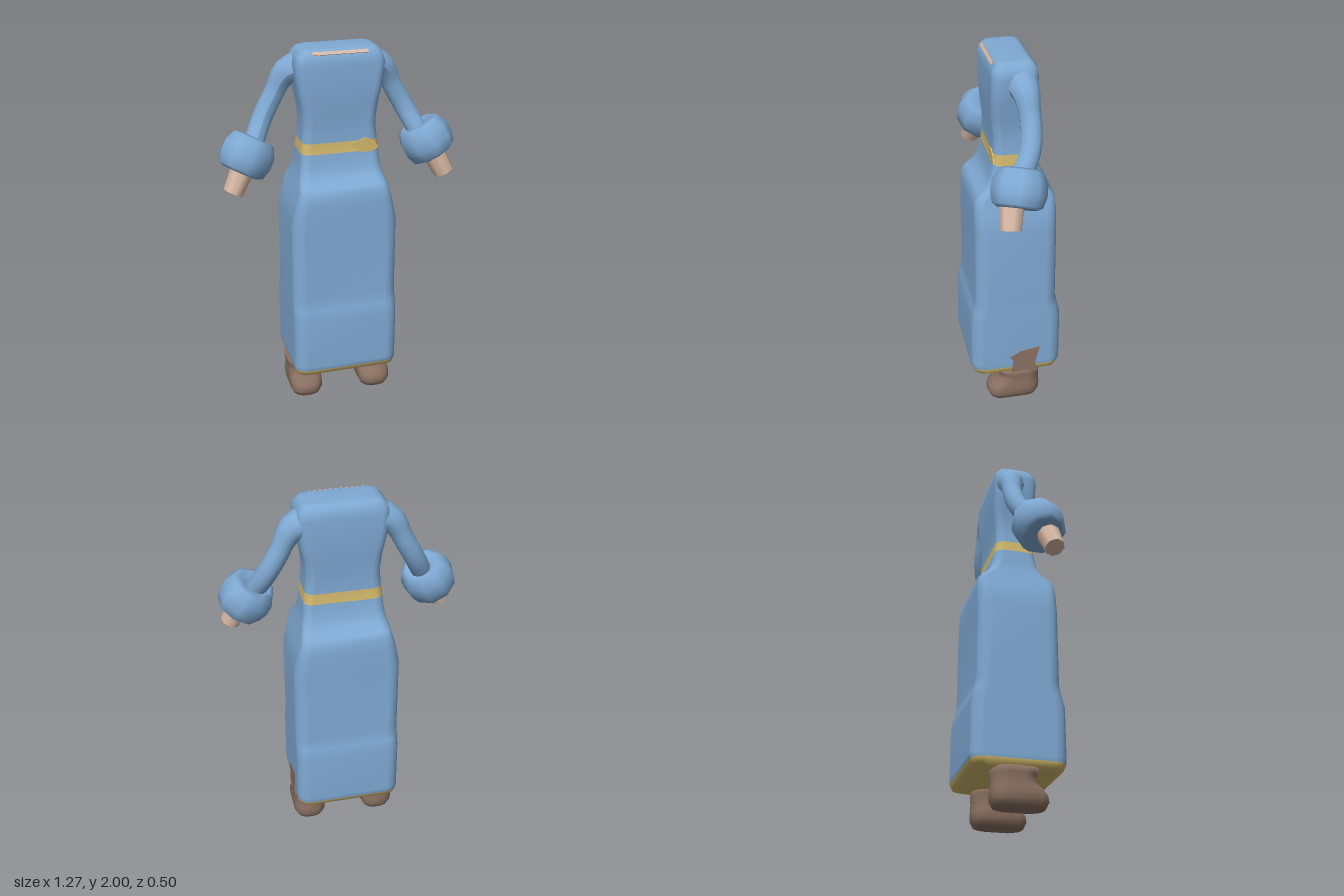
import * as THREE from 'three';

const mat = (name, color, extra = {}) => {
  const m = new THREE.MeshStandardMaterial({ color, ...extra });
  m.name = name;
  return m;
};

// Ring of a rounded rectangle, half width w, half depth d, going from +x toward +z
function ring(w, d, r, cx, y, cz, seg = 4) {
  const pts = [];
  const corners = [[1, 1], [-1, 1], [-1, -1], [1, -1]];
  corners.forEach(([sx, sz], c) => {
    for (let i = 0; i <= seg; i++) {
      const a = (c + i / seg) * Math.PI / 2;
      pts.push([cx + sx * (w - r) + r * Math.cos(a), y, cz + sz * (d - r) + r * Math.sin(a)]);
    }
  });
  return pts;
}

// Skin closed rings listed from bottom to top; slot(i) gives the material of each band
function loft(rings, slot = () => 0) {
  const n = rings[0].length, pos = [], index = [];
  const geo = new THREE.BufferGeometry();
  rings.forEach(r => r.forEach(p => pos.push(...p)));
  const cap = (ri, up) => {
    const c = pos.length / 3, mean = [0, 1, 2].map(k => rings[ri].reduce((s, p) => s + p[k] / n, 0));
    pos.push(...mean);
    for (let j = 0; j < n; j++) {
      const a = ri * n + j, b = ri * n + (j + 1) % n;
      index.push(c, ...(up ? [b, a] : [a, b]));
    }
  };
  const group = (m, fill) => {
    const start = index.length;
    fill();
    geo.addGroup(start, index.length - start, m);
  };
  group(slot(0), () => cap(0, false));
  for (let i = 0; i < rings.length - 1; i++) group(slot(i), () => {
    for (let j = 0; j < n; j++) {
      const a = i * n + j, b = i * n + (j + 1) % n;
      index.push(a, a + n, b, b, a + n, b + n);
    }
  });
  group(slot(rings.length - 2), () => cap(rings.length - 1, true));
  geo.setAttribute('position', new THREE.Float32BufferAttribute(pos, 3));
  geo.setIndex(index);
  geo.computeVertexNormals();
  return geo;
}

export function createModel() {
  const model = new THREE.Group();
  const blue = mat('blue cloth', 0x7fa9d3);
  const gold = mat('gold trim', 0xd2b96c);
  const skin = mat('skin', 0xd8b9a5);
  const brown = mat('brown leather', 0x8a7162);
  const add = (name, geo, material, parent = model) => {
    const mesh = new THREE.Mesh(geo, material);
    mesh.name = name;
    parent.add(mesh);
    return mesh;
  };

  // Gown: [y, half width, half depth, corner radius]
  const rows = [
    [0.19, 0.22, 0.13, 0.06], [0.195, 0.26, 0.19, 0.06], [0.205, 0.283, 0.235, 0.06],
    [0.235, 0.29, 0.25, 0.07], [0.26, 0.29, 0.252, 0.07], [0.54, 0.29, 0.25, 0.07],
    [0.6, 0.289, 0.235, 0.07], [0.66, 0.288, 0.222, 0.07], [1.08, 0.288, 0.22, 0.07],
    [1.2, 0.262, 0.219, 0.06], [1.265, 0.242, 0.212, 0.05], [1.29, 0.236, 0.19, 0.05],
    [1.33, 0.225, 0.145, 0.05], [1.38, 0.216, 0.125, 0.05], [1.452, 0.21, 0.112, 0.05],
    [1.51, 0.203, 0.107, 0.05], [1.6, 0.195, 0.106, 0.05], [1.7, 0.203, 0.116, 0.05],
    [1.8, 0.225, 0.121, 0.05], [1.92, 0.238, 0.12, 0.05], [1.965, 0.225, 0.113, 0.05],
    [1.993, 0.2, 0.09, 0.04], [2.0, 0.17, 0.07, 0.03],
  ];
  const gown = loft(rows.map(([y, w, d, r]) => ring(w, d, r, 0, y, -0.003)),
    i => (i < 3 || i === 14 ? 1 : 0));
  add('gown', gown, [blue, gold]);

  // Pointed buckle hanging off the belt
  const tab = new THREE.Shape([[0.04, 1.49], [0.13, 1.43], [0.2, 1.465], [0.18, 1.5], [0.13, 1.525]]
    .map(p => new THREE.Vector2(...p)));
  add('beltKnot', new THREE.ExtrudeGeometry(tab, { depth: 0.006, bevelEnabled: false }), gold)
    .position.z = 0.104;

  // Strip of skin at the neckline
  const neck = add('neckline', new THREE.BoxGeometry(0.29, 0.018, 0.006), skin);
  neck.position.set(-0.005, 1.981, 0.1);
  neck.rotation.x = -0.68;

  // Bare boot shaft showing through the gown's left side
  const patch = new THREE.Shape([[-0.04, 0.3], [0.02, 0.335], [0.13, 0.355], [0.105, 0.25], [0.12, 0.19], [-0.03, 0.19], [-0.02, 0.28]]
    .map(p => new THREE.Vector2(...p)));
  const shaft = add('bootShaft', new THREE.ExtrudeGeometry(patch, { depth: 0.008, bevelEnabled: false }), brown);
  shaft.rotation.y = Math.PI / 2;
  shaft.position.x = 0.286;

  // Boots: [y, half width, back z, front z, corner radius]
  const bootRows = [
    [0.0, 0.055, -0.10, 0.11, 0.05], [0.008, 0.075, -0.125, 0.14, 0.06], [0.04, 0.09, -0.142, 0.156, 0.075],
    [0.075, 0.092, -0.143, 0.15, 0.08], [0.105, 0.09, -0.14, 0.122, 0.08], [0.135, 0.088, -0.14, 0.09, 0.08],
    [0.17, 0.092, -0.142, 0.095, 0.08], [0.2, 0.095, -0.14, 0.11, 0.08],
  ];

  for (const [side, s] of [['left', 1], ['right', -1]]) {
    add(side + 'Boot', loft(bootRows.map(([y, w, b, f, r]) =>
      ring(w, (f - b) / 2, r, s * 0.2, y, (f + b) / 2, 5))), brown);

    const arm = new THREE.Group();
    arm.name = side + 'Arm';
    model.add(arm);
    const v = (x, y, z) => new THREE.Vector3(s * x, y, z);

    // Sleeve, widening into the shoulder
    const path = new THREE.CatmullRomCurve3([v(0.16, 1.89, -0.03), v(0.25, 1.865, -0.045),
      v(0.33, 1.73, -0.055), v(0.39, 1.62, -0.04), v(0.45, 1.5, 0.02)]);
    const sleeve = new THREE.TubeGeometry(path, 16, 0.054, 12, false);
    const p = sleeve.attributes.position;
    for (let i = 0; i < p.count; i++) {
      const t = Math.floor(i / 13) / 16, c = path.getPointAt(t);
      const k = 1 + 0.7 * Math.max(0, 1 - t / 0.35);
      p.setXYZ(i, c.x + (p.getX(i) - c.x) * k, c.y + (p.getY(i) - c.y) * k, c.z + (p.getZ(i) - c.z) * k);
    }
    sleeve.computeVertexNormals();
    add('sleeve', sleeve, blue, arm);

    // Place a part so its +y axis points back up the forearm
    const aim = (mesh, from, to) => {
      mesh.position.copy(from).add(to).multiplyScalar(0.5);
      mesh.quaternion.setFromUnitVectors(new THREE.Vector3(0, 1, 0), from.clone().sub(to).normalize());
    };

    // Thick turned-back cuff
    const profile = [[0.03, -0.085], [0.1, -0.1], [0.127, -0.085], [0.142, -0.03], [0.14, 0.03],
      [0.115, 0.085], [0.09, 0.095], [0.04, 0.075]].map(q => new THREE.Vector2(...q));
    const cuff = add('cuff', new THREE.LatheGeometry(profile, 9), blue, arm);
    aim(cuff, v(0.435, 1.555, 0.015), v(0.535, 1.375, 0.06));

    // Hand stub
    const hand = add('hand', new THREE.CylinderGeometry(0.066, 0.054, 0.17, 8), skin, arm);
    aim(hand, v(0.5, 1.435, 0.075), v(0.575, 1.285, 0.098));
  }
  return model;
}
